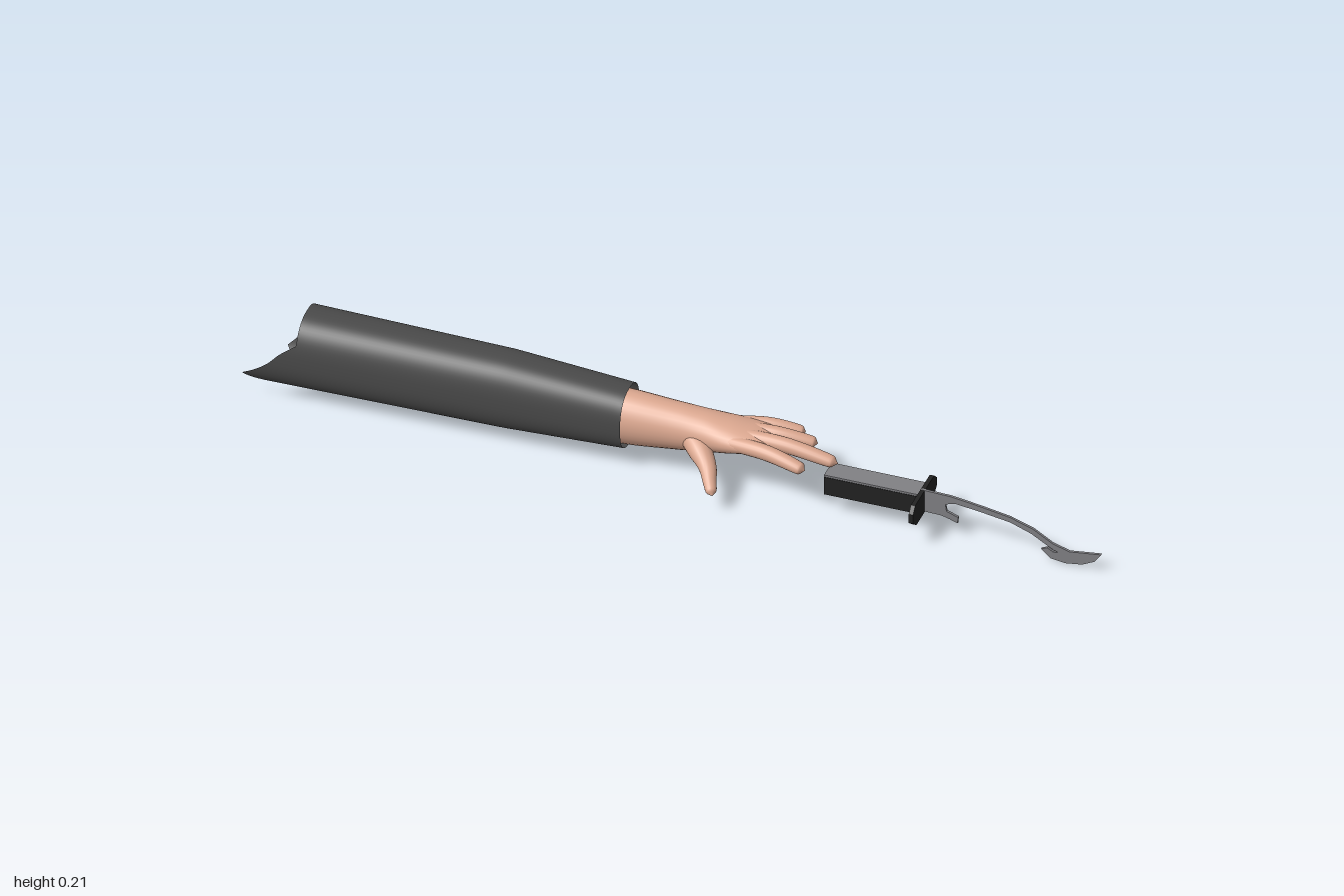
import * as THREE from 'three';

const material = (name, color, side = THREE.FrontSide) => {
  const m = new THREE.MeshStandardMaterial({ color, side });
  m.name = name;
  return m;
};

// Builds a smooth closed-ring surface; pointAt(u, angle) gives each vertex.
function ringSurface(pointAt, rings, sides) {
  const pos = [], idx = [];
  for (let i = 0; i <= rings; i++) {
    for (let j = 0; j < sides; j++) {
      pos.push(...pointAt(i / rings, (j / sides) * Math.PI * 2));
      if (i === rings) continue;
      const a = i * sides + j, b = i * sides + ((j + 1) % sides);
      idx.push(a, b, a + sides, b, b + sides, a + sides);
    }
  }
  const g = new THREE.BufferGeometry();
  g.setAttribute('position', new THREE.Float32BufferAttribute(pos, 3));
  g.setIndex(idx);
  g.computeVertexNormals();
  return g;
}

// Tapered limb through stations [x, y, z, radiusUp, radiusSide].
function limb(stations, rings = 28, sides = 20) {
  const path = new THREE.CatmullRomCurve3(stations.map(s => new THREE.Vector3(s[0], s[1], s[2])));
  const radii = new THREE.CatmullRomCurve3(stations.map(s => new THREE.Vector3(s[3], s[4], 0)), false, 'catmullrom', 0.4);
  return ringSurface((u, a) => {
    const p = path.getPoint(u), r = radii.getPoint(u), t = path.getTangent(u);
    const side = new THREE.Vector3().crossVectors(t, new THREE.Vector3(0, 1, 0)).normalize();
    const up = new THREE.Vector3().crossVectors(side, t);
    p.addScaledVector(side, Math.cos(a) * Math.max(r.y, 0.0005));
    p.addScaledVector(up, Math.sin(a) * Math.max(r.x, 0.0005));
    return p.toArray();
  }, rings, sides);
}

// Sleeve with a torn, two-pointed shoulder edge.
function sleeveGeometry() {
  const keys = [ // x, centre y, centre z, half height, half depth
    [-1, 0.124, -0.029, 0.094, 0.077], [-0.87, 0.124, -0.03, 0.094, 0.075],
    [-0.4, 0.121, -0.032, 0.089, 0.07], [-0.12, 0.118, -0.03, 0.073, 0.062],
  ];
  const section = x => {
    let i = 0;
    while (i < keys.length - 2 && x > keys[i + 1][0]) i++;
    const t = (x - keys[i][0]) / (keys[i + 1][0] - keys[i][0]);
    return keys[i].map((v, k) => THREE.MathUtils.lerp(v, keys[i + 1][k], t));
  };
  const peak = (deg, centre, width) => {
    const d = Math.abs(((deg - centre + 540) % 360) - 180);
    return Math.max(0, 1 - d / width);
  };
  const soften = v => Math.sign(v) * Math.pow(Math.abs(v), 0.82);
  return ringSurface((u, a) => {
    const deg = THREE.MathUtils.radToDeg(a);
    const end = -0.87 - 0.13 * peak(deg, -35, 58) - 0.07 * peak(deg, -145, 50);
    const x = THREE.MathUtils.lerp(end, -0.12, u);
    const [, cy, cz, h, d] = section(x);
    return [x, cy + soften(Math.sin(a)) * h, cz + soften(Math.cos(a)) * d];
  }, 40, 64);
}

export function createModel() {
  const model = new THREE.Group();
  const cloth = material('sleeve cloth', 0x4a4a4a, THREE.DoubleSide);
  const skin = material('skin', 0xdca890, THREE.DoubleSide);
  const black = material('black grip', 0x222222);
  const steel = material('steel', 0x808084);

  const add = (parent, name, geometry, mat, x = 0, y = 0, z = 0) => {
    const mesh = new THREE.Mesh(geometry, mat);
    mesh.name = name;
    mesh.position.set(x, y, z);
    parent.add(mesh);
    return mesh;
  };

  add(model, 'sleeve', sleeveGeometry(), cloth);

  // Forearm, palm, fingers and thumb
  const hand = new THREE.Group();
  hand.name = 'hand';
  model.add(hand);
  add(hand, 'forearm and palm', limb([
    [-0.2, 0.115, -0.03, 0.064, 0.054], [-0.12, 0.115, -0.03, 0.065, 0.054],
    [0, 0.118, -0.031, 0.054, 0.05], [0.06, 0.121, -0.031, 0.046, 0.051],
    [0.12, 0.126, -0.029, 0.035, 0.057], [0.17, 0.131, -0.027, 0.024, 0.058],
    [0.205, 0.132, -0.027, 0.015, 0.053], [0.22, 0.132, -0.027, 0.001, 0.04],
  ], 48, 32), skin);

  const fingers = [ // name, root, middle, tip, radius
    ['index finger', [0.12, 0.13, 0.008], [0.22, 0.134, 0.024], [0.312, 0.12, 0.039], 0.0175],
    ['middle finger', [0.13, 0.137, -0.016], [0.25, 0.138, -0.013], [0.37, 0.119, -0.012], 0.0175],
    ['ring finger', [0.13, 0.136, -0.046], [0.22, 0.137, -0.05], [0.305, 0.123, -0.064], 0.0165],
    ['little finger', [0.12, 0.132, -0.068], [0.19, 0.134, -0.082], [0.265, 0.122, -0.097], 0.0155],
  ];
  for (const [name, root, mid, tip, r] of fingers) {
    const near = mid.map((v, i) => THREE.MathUtils.lerp(v, tip[i], 0.88));
    add(hand, name, limb([
      [...root, r, r], [...mid, r, r], [...near, r * 0.75, r * 0.85], [...tip, 0.001, 0.001],
    ]), skin);
  }
  add(hand, 'thumb', limb([
    [0.02, 0.115, -0.01, 0.025, 0.02], [0.06, 0.1, 0.018, 0.026, 0.026],
    [0.09, 0.083, 0.05, 0.018, 0.02], [0.106, 0.066, 0.08, 0.014, 0.015],
    [0.116, 0.056, 0.098, 0.011, 0.012], [0.121, 0.051, 0.106, 0.001, 0.001],
  ]), skin);

  // Hooked knife
  const knife = new THREE.Group();
  knife.name = 'knife';
  model.add(knife);
  add(knife, 'grip', new THREE.BoxGeometry(0.22, 0.046, 0.052), black, 0.46, 0.077, -0.005);
  add(knife, 'grip top plate', new THREE.BoxGeometry(0.22, 0.005, 0.05), steel, 0.46, 0.1025, -0.005);

  // Octagonal guard, drawn in the z-y plane and turned to face +x
  const guard = new THREE.Shape([
    [-0.078, 0.068], [-0.056, 0.05], [0.052, 0.05], [0.075, 0.07],
    [0.075, 0.091], [0.057, 0.107], [-0.064, 0.107], [-0.078, 0.091],
  ].map(p => new THREE.Vector2(...p)));
  const guardMesh = add(knife, 'guard',
    new THREE.ExtrudeGeometry(guard, { depth: 0.01, bevelEnabled: false }), black, 0.568, 0, 0);
  guardMesh.rotation.y = Math.PI / 2;

  // Blade outline from the base along the spine to the hooked head and back
  const outline = [
    [0.57, 0.108], [0.64, 0.108], [0.71, 0.1], [0.78, 0.09], [0.835, 0.073], [0.88, 0.047],
    [0.92, 0.036], [0.995, 0.048], [0.98, 0.026], [0.95, 0.01], [0.91, 0.003], [0.875, 0.007],
    [0.853, 0.026], [0.868, 0.033], [0.882, 0.025], [0.894, 0.027], [0.878, 0.033],
    [0.83, 0.06], [0.78, 0.077], [0.71, 0.086], [0.65, 0.092], [0.627, 0.084], [0.63, 0.066],
    [0.657, 0.057], [0.656, 0.041], [0.638, 0.047], [0.618, 0.052], [0.57, 0.052],
  ];
  const bladeGeometry = new THREE.ExtrudeGeometry(
    new THREE.Shape(outline.map(p => new THREE.Vector2(...p))), { depth: 0.006, bevelEnabled: false });
  // Lean the blade slightly towards +z along its length
  const bp = bladeGeometry.attributes.position;
  for (let i = 0; i < bp.count; i++) bp.setZ(i, bp.getZ(i) - 0.002 + (bp.getX(i) - 0.57) * 0.042);
  bladeGeometry.computeVertexNormals();
  add(knife, 'blade', bladeGeometry, steel);

  return model;
}
